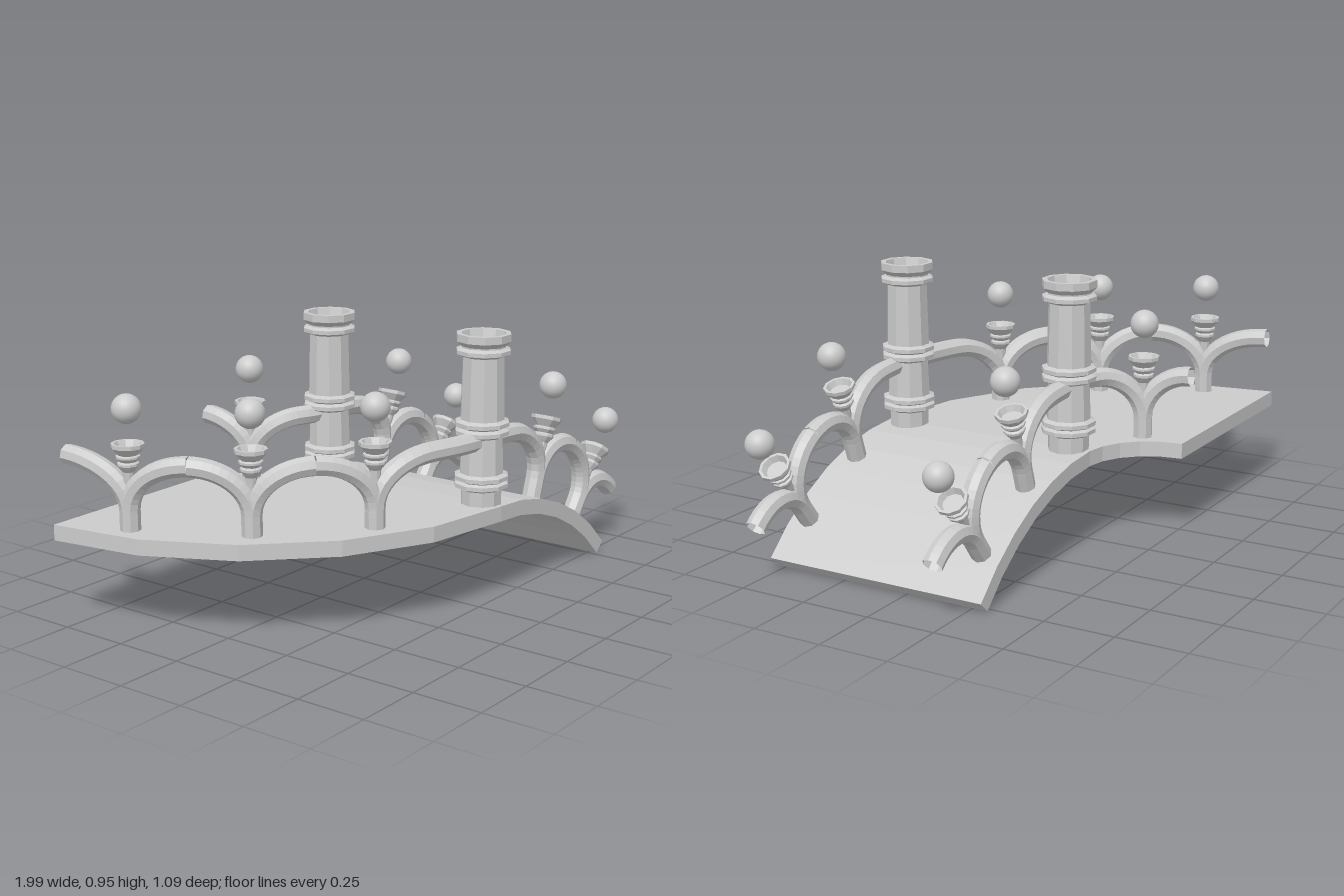
import * as THREE from 'three';

const DECK = 0.355, THICK = 0.055;   // deck top and thickness
const CX = 0.08, CZ = -0.545;        // centre of the plan curve; the slope also starts at CX
const SLOPE_Y = -0.645;              // height of the slope's centre, radius 1
const CROWN = 0.23, SPLIT = 0.07;    // handrail height, height where a post forks
const rad = THREE.MathUtils.degToRad;

const flat = new THREE.MeshStandardMaterial({ color: 0xcccccc, flatShading: true, side: THREE.DoubleSide });
const smooth = new THREE.MeshStandardMaterial({ color: 0xcccccc });

function add(parent, name, geometry, material = flat) {
  const mesh = new THREE.Mesh(geometry, material);
  mesh.name = name;
  parent.add(mesh);
  return mesh;
}

const lathe = (pts, sides) =>
  new THREE.LatheGeometry(pts.map(([r, y]) => new THREE.Vector2(r, y)), sides);

// Point at angle a (degrees) and height h above the deck, on the curve or on the slope
const onCurve = (radius) => (a, h) => new THREE.Vector3(
  CX - radius(a) * Math.cos(rad(a)), DECK + h, CZ + radius(a) * Math.sin(rad(a)));
const onSlope = (z) => (a, h) => new THREE.Vector3(
  CX + (1 + h) * Math.sin(rad(a)), SLOPE_Y + (1 + h) * Math.cos(rad(a)), z);

// One half of an arch: rises up the post, bends over to the crown, then runs level to the end
function addArm(parent, at, post, crown, end) {
  const pts = [at(post, -0.005), at(post, SPLIT / 2)];
  for (let i = 0; i <= 8; i++) {
    const t = (i / 8) * Math.PI / 2;
    pts.push(at(post + (crown - post) * (1 - Math.cos(t)), SPLIT + (CROWN - SPLIT) * Math.sin(t)));
  }
  const steps = Math.round(Math.abs(end - crown) / 6);
  for (let i = 1; i <= steps; i++) pts.push(at(crown + (end - crown) * i / steps, CROWN));
  const path = new THREE.CatmullRomCurve3(pts, false, 'centripetal');
  add(parent, 'archArm', new THREE.TubeGeometry(path, 14 + steps * 2, 0.035, 8, false));
}

// Forked post with a cup and a floating ball; arms are [crownAngle, endAngle]
function addPost(parent, at, angle, tilt, arms) {
  const post = new THREE.Group();
  post.name = 'railingPost';
  for (const [crown, end] of arms) addArm(post, at, angle, crown, end);

  const top = new THREE.Group();
  top.name = 'postTop';
  top.position.copy(at(angle, 0));
  top.rotation.z = -rad(tilt);
  add(top, 'cup', lathe([
    [0.012, 0.08], [0.02, 0.2], [0.028, 0.21], [0.037, 0.222], [0.037, 0.23], [0.029, 0.235],
    [0.041, 0.247], [0.041, 0.254], [0.034, 0.258], [0.056, 0.283], [0.056, 0.296],
    [0.046, 0.296], [0.036, 0.275], [0, 0.275]], 10));
  add(top, 'ball', new THREE.SphereGeometry(0.05, 24, 16), smooth).position.y = 0.411;
  post.add(top);
  parent.add(post);
}

// Hollow-topped ten-sided pillar with ring mouldings
function addPillar(parent, z) {
  const profile = [[0.072, DECK - 0.005]];
  const ring = (y) => profile.push(
    [0.073, y - 0.018], [0.096, y - 0.008], [0.096, y + 0.006], [0.078, y + 0.014]);
  ring(0.425);
  ring(0.452);
  ring(0.612);
  ring(0.642);
  ring(0.893);
  profile.push([0.078, 0.912], [0.096, 0.929], [0.096, 0.955], [0.078, 0.955], [0.07, 0.92], [0, 0.92]);
  const pillar = add(parent, 'pillar', lathe(profile, 10));
  pillar.position.set(CX, 0, z);
  pillar.rotation.y = rad(18);
}

function addDeck(parent) {
  // Quarter-ring landing
  const plan = [];
  const corner = (r, a) => plan.push(new THREE.Vector2(CX - r * Math.cos(rad(a)), CZ + r * Math.sin(rad(a))));
  for (let i = 0; i <= 5; i++) corner(1.078, i * 18);
  for (let i = 5; i >= 0; i--) corner(0.24, i * 18);
  const landing = add(parent, 'curvedDeck',
    new THREE.ExtrudeGeometry(new THREE.Shape(plan), { depth: THICK, bevelEnabled: false }));
  landing.rotation.x = Math.PI / 2;
  landing.position.y = DECK;

  // Arched slope running down
  const side = [];
  const edge = (r, a) => side.push(new THREE.Vector2(CX + r * Math.sin(rad(a)), SLOPE_Y + r * Math.cos(rad(a))));
  const N = 6, SWEEP = 46.8;
  for (let i = 0; i <= N; i++) edge(1, SWEEP * i / N);
  for (let i = N; i >= 0; i--) edge(1 - THICK, SWEEP * i / N);
  const slope = add(parent, 'slopingDeck',
    new THREE.ExtrudeGeometry(new THREE.Shape(side), { depth: 0.838, bevelEnabled: false }));
  slope.position.z = -0.305;
}

export function createModel() {
  const model = new THREE.Group();
  model.name = 'bridge';
  addDeck(model);

  // Outer curved railing
  const outer = onCurve((a) => 1.005 - 0.025 * Math.sin(rad(2 * a)));
  addPost(model, outer, 14.2, 0, [[0, 0], [26.2, 26.2]]);
  addPost(model, outer, 38.2, 0, [[26.2, 26.2], [50.3, 50.3]]);
  addPost(model, outer, 62.4, 0, [[50.3, 50.3], [75, 90]]);

  // Inner curved railing
  const inner = onCurve((a) => 0.305 + 0.011 * a / 90);
  addPost(model, inner, 32.3, 0, [[0, 0], [66, 90]]);

  // Railings and pillars on both sides of the slope
  for (const [railZ, pillarZ] of [[0.462, 0.447], [-0.229, -0.22]]) {
    const at = onSlope(railZ);
    addPost(model, at, 18.4, 18.4, [[8, 0], [27.7, 27.7]]);
    addPost(model, at, 36.9, 36.9, [[27.7, 27.7], [46.2, 46.2]]);
    addPillar(model, pillarZ);
  }
  return model;
}
